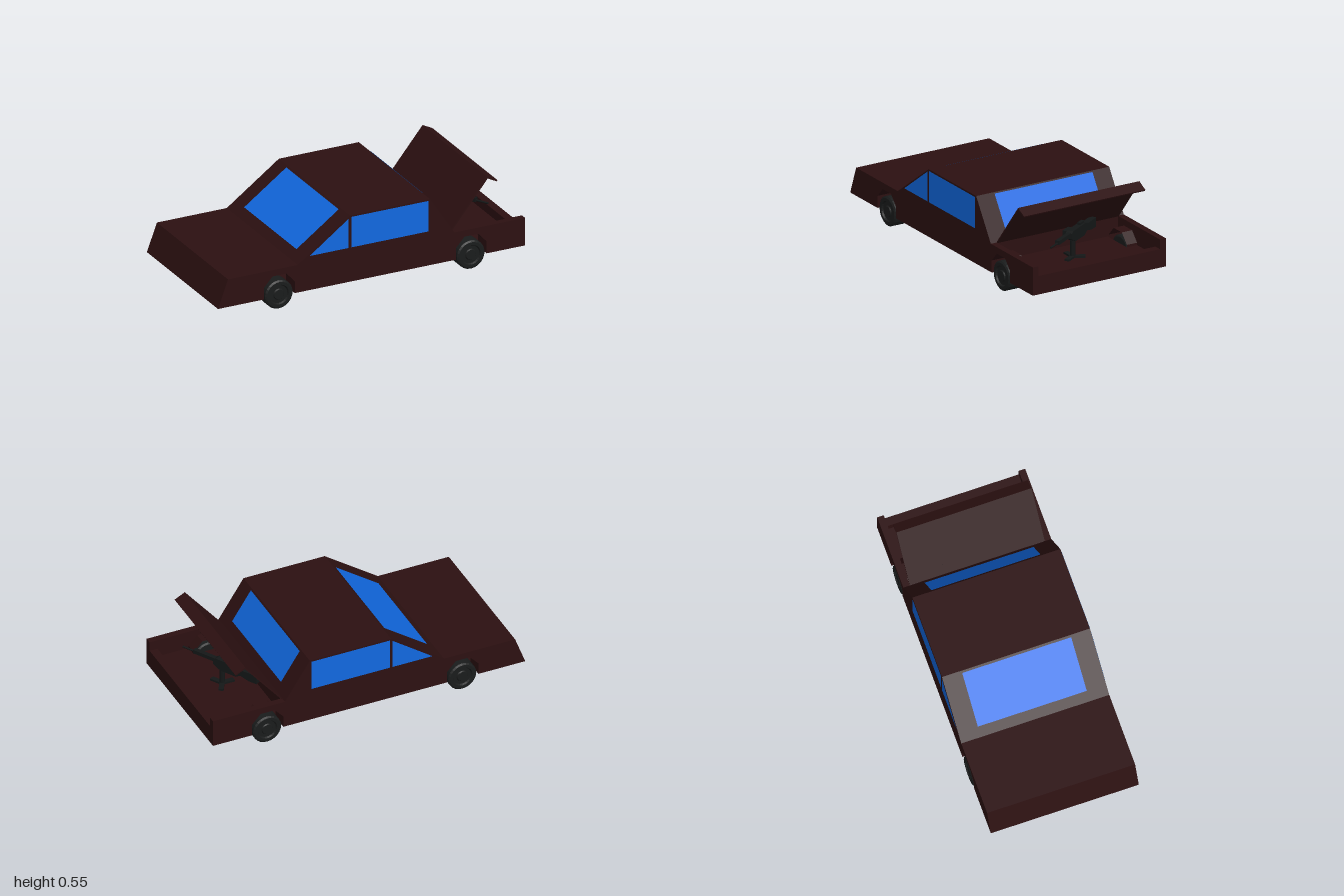
import * as THREE from 'three';

const paint = new THREE.MeshStandardMaterial({ color: 0x2c1011, side: THREE.DoubleSide, flatShading: true });
const glass = new THREE.MeshStandardMaterial({ color: 0x1168e0, side: THREE.DoubleSide });
const rubber = new THREE.MeshStandardMaterial({ color: 0x1a1c1c, flatShading: true });
const metal = new THREE.MeshStandardMaterial({ color: 0x141717, flatShading: true });

const W = 0.455;        // half width of the body
const IN = 0.415;       // inner face of the side walls
const WELL = 0.345;     // inner end of the wheel wells
const AXLES = [-0.6, 0.65];
const ARCH = [[0.1, 0.08], [0.1, 0.155], [0.045, 0.215], [-0.045, 0.215], [-0.1, 0.155], [-0.1, 0.08]];

const archAt = (cx) => ARCH.map(([x, y]) => [x + cx, y]);
const shapeOf = (pts) => new THREE.Shape(pts.map(([x, y]) => new THREE.Vector2(x, y)));

function add(parent, name, geometry, material, x = 0, y = 0, z = 0) {
  const mesh = new THREE.Mesh(geometry, material);
  mesh.name = name;
  mesh.position.set(x, y, z);
  parent.add(mesh);
  return mesh;
}

// Sheet that follows an x/y path and spans z0..z1
function sheet(path, z0, z1) {
  const pos = [];
  for (let i = 0; i < path.length - 1; i++) {
    const [ax, ay] = path[i], [bx, by] = path[i + 1];
    pos.push(ax, ay, z0, ax, ay, z1, bx, by, z1, ax, ay, z0, bx, by, z1, bx, by, z0);
  }
  const g = new THREE.BufferGeometry();
  g.setAttribute('position', new THREE.Float32BufferAttribute(pos, 3));
  g.computeVertexNormals();
  return g;
}

// Horizontal panel with notches for the wheel wells
function floorPanel(x0, x1, halfWidth, axles) {
  const edge = [[x0, halfWidth]];
  for (const c of axles) {
    edge.push([c - 0.1, halfWidth], [c - 0.1, WELL], [c + 0.1, WELL], [c + 0.1, halfWidth]);
  }
  edge.push([x1, halfWidth]);
  const mirrored = edge.map(([x, z]) => [x, -z]).reverse();
  return new THREE.ShapeGeometry(shapeOf([...edge, ...mirrored])).rotateX(Math.PI / 2);
}

function buildWheel() {
  const wheel = new THREE.Group();
  wheel.name = 'wheel';
  // Tyre with a stepped, recessed hub, revolved about the axle
  const profile = [[0, -0.047], [0.08, -0.047], [0.09, -0.04], [0.09, 0.04], [0.08, 0.047],
    [0.062, 0.047], [0.056, 0.037], [0.035, 0.037], [0.03, 0.044], [0, 0.044]];
  const tyre = new THREE.LatheGeometry(profile.map(([r, h]) => new THREE.Vector2(r, h)), 24);
  add(wheel, 'tyre', tyre.rotateX(Math.PI / 2), rubber);
  return wheel;
}

function buildGun() {
  const gun = new THREE.Group();
  gun.name = 'mountedGun';
  // Receiver and stock in side profile, muzzle towards +x
  const body = shapeOf([[-0.255, 0.25], [-0.2, 0.25], [-0.14, 0.265], [-0.11, 0.245], [0, 0.245],
    [0.05, 0.272], [0.05, 0.305], [0.03, 0.316], [-0.12, 0.318], [-0.16, 0.305], [-0.255, 0.308]]);
  const receiver = new THREE.ExtrudeGeometry(body, { depth: 0.04, bevelEnabled: false });
  add(gun, 'receiver', receiver, metal, 0, 0, -0.02);
  add(gun, 'sight', new THREE.BoxGeometry(0.05, 0.016, 0.02), metal, -0.1, 0.323, 0);
  add(gun, 'handguard', new THREE.BoxGeometry(0.15, 0.024, 0.026), metal, 0.12, 0.297, 0);
  const barrel = new THREE.CylinderGeometry(0.006, 0.006, 0.13, 8).rotateZ(Math.PI / 2);
  add(gun, 'barrel', barrel, metal, 0.21, 0.293, 0);
  add(gun, 'magazine', new THREE.BoxGeometry(0.07, 0.045, 0.05), metal, -0.02, 0.28, 0.035);
  add(gun, 'post', new THREE.CylinderGeometry(0.016, 0.016, 0.11, 8), metal, 0, 0.195, 0);
  for (let i = 0; i < 3; i++) {
    const foot = add(gun, 'foot', new THREE.BoxGeometry(0.075, 0.012, 0.03).translate(0.037, 0, 0), metal, 0, 0.148, 0);
    foot.rotation.y = (i * 2 * Math.PI) / 3;
  }
  gun.position.set(0.725, 0, 0.01);
  gun.rotation.y = -1.04;
  return gun;
}

export function createModel() {
  const car = new THREE.Group();
  car.name = 'car';

  // Side walls, with wheel arches cut from the lower edge
  const outline = shapeOf([[-1, 0.08], [-0.935, 0.255], [-0.48, 0.255], [-0.14, 0.5], [0.38, 0.5],
    [0.54, 0.255], [1, 0.255], [1, 0.08], ...archAt(AXLES[1]), ...archAt(AXLES[0])]);
  const wall = new THREE.ExtrudeGeometry(outline, { depth: W - IN, bevelEnabled: false });
  add(car, 'leftSideWall', wall, paint, 0, 0, IN);
  add(car, 'rightSideWall', wall, paint, 0, 0, -W);

  // Nose, bonnet, screens and roof in one folded sheet
  add(car, 'upperBody', sheet([[-1, 0.08], [-0.935, 0.255], [-0.48, 0.255], [-0.14, 0.5],
    [0.38, 0.5], [0.54, 0.255]], -IN, IN), paint);
  add(car, 'underside', floorPanel(-1, 1, IN, AXLES), paint, 0, 0.08, 0);

  // Open boot: floor, front bulkhead and low tail panel
  add(car, 'bootFloor', floorPanel(0.54, 1, IN, [AXLES[1]]), paint, 0, 0.14, 0);
  add(car, 'bootBulkhead', sheet([[0.54, 0.14], [0.54, 0.255]], -IN, IN), paint);
  add(car, 'tailPanel', new THREE.BoxGeometry(0.05, 0.115, 2 * IN), paint, 0.975, 0.1375, 0);

  // Raised boot lid with folded lip
  const lid = shapeOf([[0.54, 0.258], [0.775, 0.545], [0.84, 0.512], [0.836, 0.504], [0.777, 0.534], [0.548, 0.254]]);
  const lidGeometry = new THREE.ExtrudeGeometry(lid, { depth: 2 * IN, bevelEnabled: false });
  add(car, 'bootLid', lidGeometry, paint, 0, 0, -IN);

  // Windscreen and rear window, just proud of the sloping panels
  add(car, 'windscreen', sheet([[-0.428, 0.297], [-0.153, 0.495]], -0.335, 0.335), glass);
  add(car, 'rearWindow', sheet([[0.389, 0.494], [0.509, 0.31]], -0.335, 0.335), glass);

  // Side windows
  const quarter = new THREE.ShapeGeometry(shapeOf([[-0.405, 0.297], [-0.15, 0.297], [-0.15, 0.483]]));
  const door = new THREE.ShapeGeometry(shapeOf([[-0.133, 0.297], [0.37, 0.297], [0.37, 0.491], [-0.133, 0.491]]));
  for (const s of [1, -1]) {
    const side = s > 0 ? 'left' : 'right';
    add(car, side + 'QuarterWindow', quarter, glass, 0, 0, s * (W + 0.002));
    add(car, side + 'DoorWindow', door, glass, 0, 0, s * (W + 0.002));
    // Wheel wells and wheels
    for (const cx of AXLES) {
      add(car, side + 'WheelWell', sheet(archAt(cx), s * WELL, s * IN), paint);
      const wheel = buildWheel();
      wheel.position.set(cx, 0.09, s * 0.407);
      if (s < 0) wheel.rotation.y = Math.PI;
      car.add(wheel);
    }
  }

  car.add(buildGun());
  return car;
}
